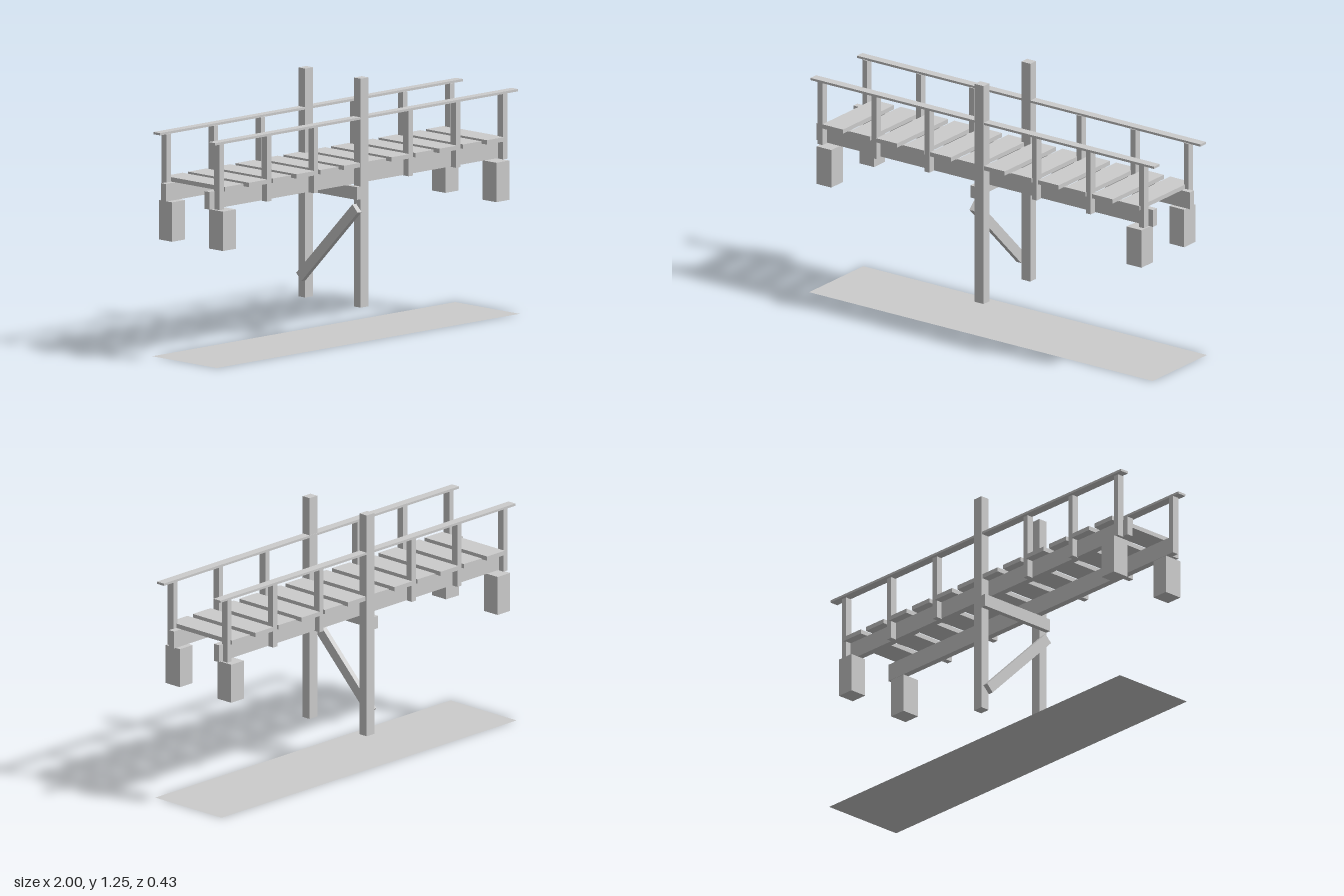
import * as THREE from 'three';

export function createModel() {
  const model = new THREE.Group();
  const material = new THREE.MeshStandardMaterial({ color: 0xcccccc, flatShading: true });

  // Box given by its lower and upper bounds on each axis
  function box(name, [x0, x1], [y0, y1], [z0, z1]) {
    const mesh = new THREE.Mesh(new THREE.BoxGeometry(x1 - x0, y1 - y0, z1 - z0), material);
    mesh.position.set((x0 + x1) / 2, (y0 + y1) / 2, (z0 + z1) / 2);
    mesh.name = name;
    model.add(mesh);
    return mesh;
  }

  // Flat water sheet below the bridge
  const water = new THREE.Mesh(
    new THREE.PlaneGeometry(2, 0.43).rotateX(-Math.PI / 2),
    new THREE.MeshStandardMaterial({ color: 0xcccccc, side: THREE.DoubleSide })
  );
  water.name = 'waterSurface';
  model.add(water);

  // Deck planks
  const plankCount = 12;
  for (let i = 0; i < plankCount; i++) {
    const x = -0.872 + i * 0.157;
    box('deckPlank', [x - 0.06, x + 0.06], [0.832, 0.853], [-0.203, 0.203]);
  }

  // Parts repeated along each side
  const balusters = [-0.949, -0.636, -0.327, 0.298, 0.612, 0.922];
  const sides = [
    { name: 'front', post: [0.162, 0.207], rail: [0.16, 0.205], baluster: [0.16, 0.197], stringer: [0.13, 0.162], block: [0.12, 0.213] },
    { name: 'back', post: [-0.209, -0.163], rail: [-0.207, -0.163], baluster: [-0.192, -0.157], stringer: [-0.162, -0.13], block: [-0.214, -0.126] },
  ];
  for (const s of sides) {
    box(s.name + 'Stringer', [-0.995, 0.963], [0.748, 0.832], s.stringer);
    box(s.name + 'Handrail', [-1, 1], [1.06, 1.071], s.rail);
    box(s.name + 'TallPost', [-0.042, 0.01], [0.163, 1.255], s.post);
    for (const x of balusters) {
      box(s.name + 'Baluster', [x - 0.014, x + 0.014], [0.746, 1.061], s.baluster);
    }
    // Footings at both ends
    box(s.name + 'Footing', [-0.957, -0.872], [0.552, 0.74], s.block);
    box(s.name + 'Footing', [0.847, 0.933], [0.552, 0.74], s.block);
  }

  // Cross beam and diagonal brace fixed to the tall posts
  box('crossBeam', [-0.067, -0.042], [0.68, 0.741], [-0.209, 0.207]);
  const brace = box('diagonalBrace', [-0.068, -0.042], [0.425, 0.475], [-0.257, 0.273]);
  brace.rotation.x = -Math.PI / 4;

  return model;
}
